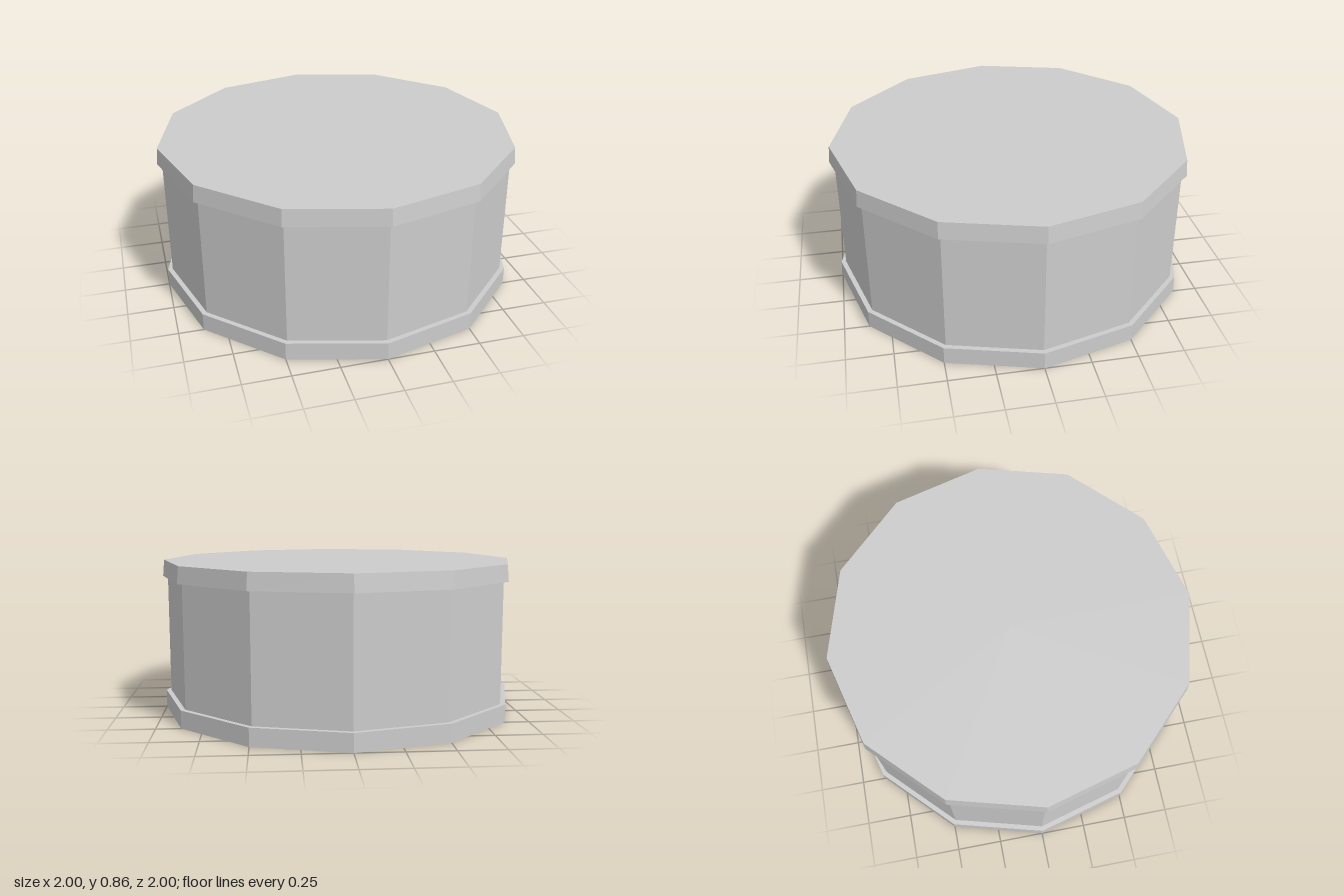
import * as THREE from 'three';

const SIDES = 12;

export function createModel() {
  const model = new THREE.Group();
  model.name = 'drum';

  const grey = new THREE.MeshStandardMaterial({ color: 0xcccccc, flatShading: true });
  grey.name = 'light grey';

  // A twelve-sided slab from height y0 to y1
  const addSlab = (name, topRadius, bottomRadius, y0, y1) => {
    const geometry = new THREE.CylinderGeometry(topRadius, bottomRadius, y1 - y0, SIDES);
    const mesh = new THREE.Mesh(geometry, grey);
    mesh.name = name;
    mesh.position.y = (y0 + y1) / 2;
    model.add(mesh);
  };

  addSlab('baseRim', 1, 1, 0, 0.098);
  addSlab('body', 0.973, 0.973, 0.098, 0.763);
  // The lid narrows slightly towards the top
  addSlab('lid', 0.992, 1, 0.763, 0.855);

  return model;
}
